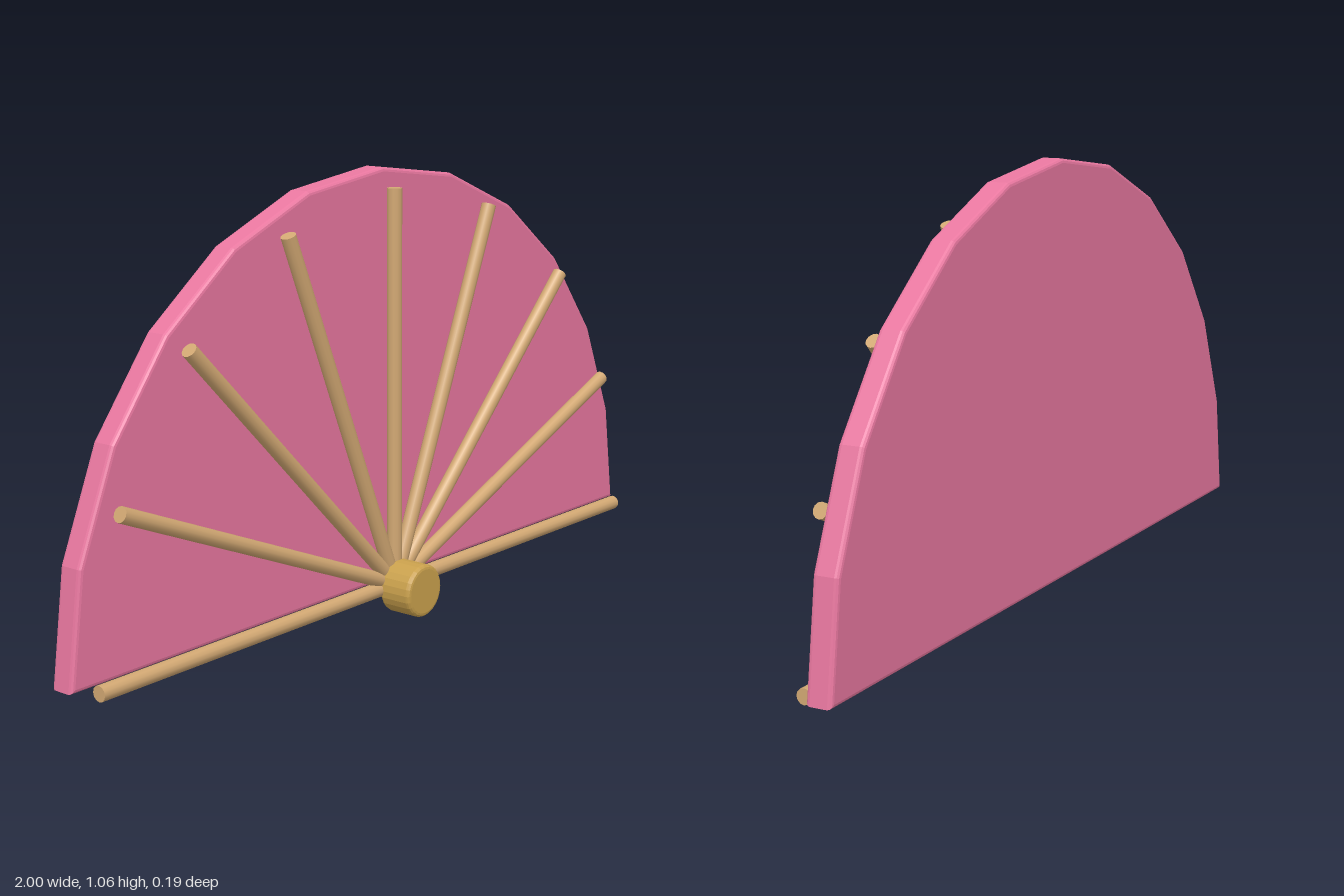
import * as THREE from 'three';

const PIVOT_Y = 0.065;
const BEVEL = 0.01;

// Plate extruded from a polygon arc, with softened edges kept inside the outline
function bevelledArc(radius, sweep, segments, depth) {
  const points = [];
  const count = sweep < Math.PI * 2 ? segments + 1 : segments;
  for (let i = 0; i < count; i++) {
    const a = (sweep * i) / segments;
    points.push(new THREE.Vector2(Math.cos(a) * radius, Math.sin(a) * radius));
  }
  const geometry = new THREE.ExtrudeGeometry(new THREE.Shape(points), {
    depth: depth - 2 * BEVEL,
    bevelEnabled: true,
    bevelSize: BEVEL,
    bevelOffset: -BEVEL,
    bevelThickness: BEVEL,
    bevelSegments: 3,
  });
  return geometry.translate(0, 0, BEVEL);
}

export function createModel() {
  const model = new THREE.Group();
  model.name = 'handFan';

  const pink = new THREE.MeshStandardMaterial({ color: 0xe8779f });
  const wood = new THREE.MeshStandardMaterial({ color: 0xd2a873 });
  const gold = new THREE.MeshStandardMaterial({ color: 0xc9a04c });

  // Half-disc leaf behind the ribs
  const leaf = new THREE.Mesh(bevelledArc(1, Math.PI, 12, 0.061), pink);
  leaf.name = 'leaf';
  leaf.position.set(0, PIVOT_Y + 0.001, -0.094);
  model.add(leaf);

  // Nine ribs spread evenly from the pivot
  const ribs = new THREE.Group();
  ribs.name = 'ribs';
  const length = 0.955;
  const ribGeometry = new THREE.CylinderGeometry(0.018, 0.018, length, 12);
  ribGeometry.translate(0, length / 2, 0);
  for (let i = 0; i < 9; i++) {
    const rib = new THREE.Mesh(ribGeometry, wood);
    rib.name = `rib${i + 1}`;
    rib.position.y = PIVOT_Y;
    rib.rotation.z = Math.PI / 2 - (i * Math.PI) / 8;
    ribs.add(rib);
  }
  model.add(ribs);

  // Round pivot knob on the front
  const knob = new THREE.Mesh(bevelledArc(0.064, Math.PI * 2, 24, 0.09), gold);
  knob.name = 'pivotKnob';
  knob.position.set(0, PIVOT_Y, 0.005);
  model.add(knob);

  return model;
}
